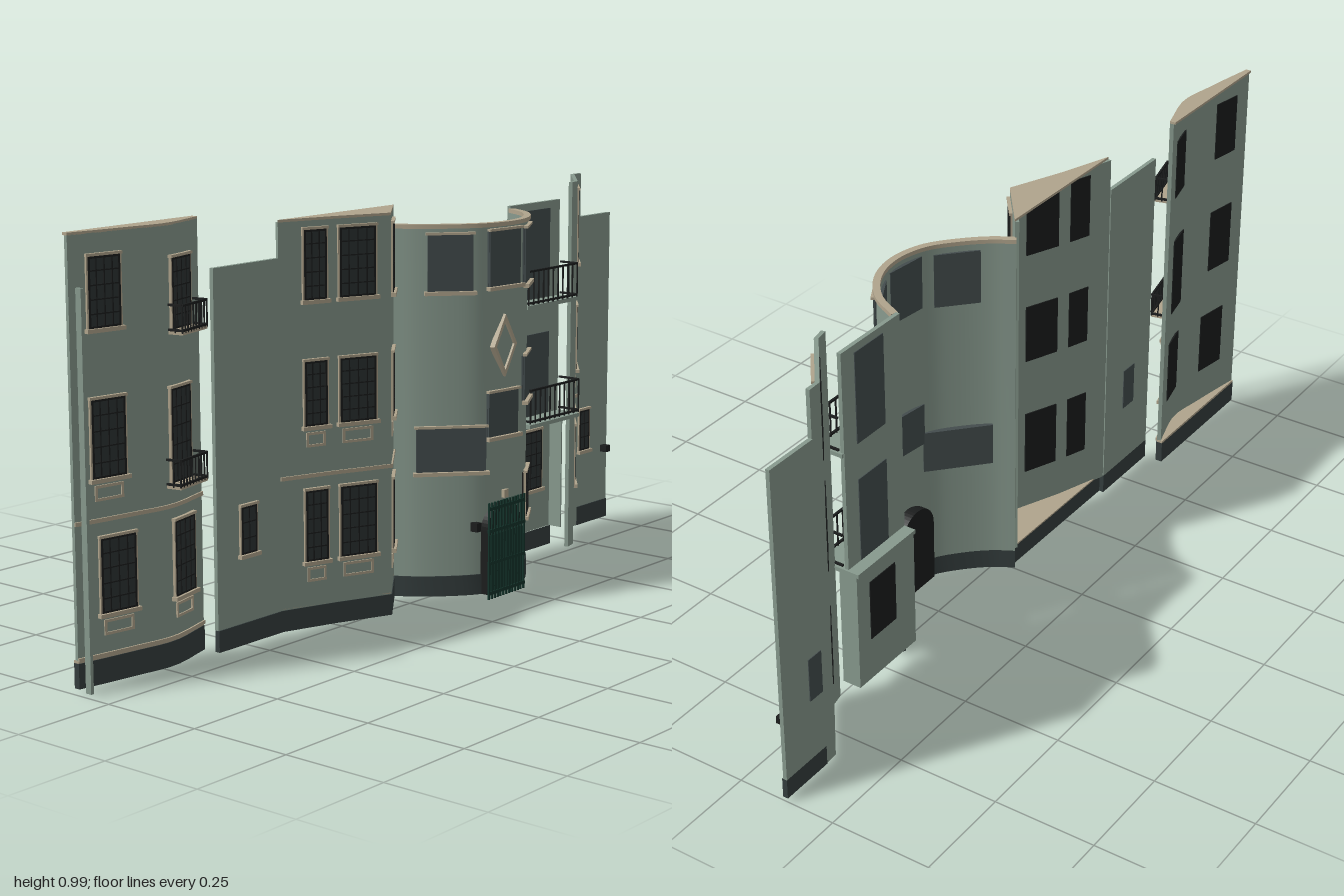
import * as THREE from 'three';
import { toCreasedNormals } from 'three/addons/utils/BufferGeometryUtils.js';

const mat = (name, color) => {
  const m = new THREE.MeshStandardMaterial({ color });
  m.name = name;
  return m;
};

export function createModel() {
  const root = new THREE.Group();
  root.name = 'facade';
  const green = mat('wallGreen', 0x87998d), beige = mat('trimBeige', 0xb0a48c);
  const dark = mat('plinthGrey', 0x343d3d), black = mat('ironBlack', 0x1b1d1d);
  const glass = mat('glassGrey', 0x434c4d), pane = mat('paneDark', 0x2c3333);
  const gateGreen = mat('gateGreen', 0x13332a);

  const add = (parent, name, geo, m, x = 0, y = 0, z = 0) => {
    const mesh = new THREE.Mesh(geo, m);
    mesh.name = name;
    mesh.position.set(x, y, z);
    parent.add(mesh);
    return mesh;
  };
  const box = (parent, name, m, w, h, d, x, y, z) =>
    add(parent, name, new THREE.BoxGeometry(w, h, d), m, x, y, z);

  // Ground-plan lines as [x, z], running left to right across the front
  const curve = (pts, n) => new THREE.CatmullRomCurve3(pts.map(([x, z]) => new THREE.Vector3(x, 0, z)))
    .getPoints(n).map(p => [p.x, p.z]);
  const bow = curve([[-0.99, -0.1], [-0.92, -0.088], [-0.84, -0.076], [-0.74, -0.064], [-0.61, -0.098]], 14);
  const link = [[-0.61, -0.053], [-0.4, -0.053]];
  const bay = [[-0.4, -0.053], [-0.265, -0.006], [-0.13, 0.05], [0, -0.05]];
  const drum = curve([[0, -0.055], [0.03, -0.005], [0.08, 0.05], [0.145, 0.1], [0.22, 0.12], [0.285, 0.114],
    [0.345, 0.088], [0.4, 0.04], [0.44, -0.03]], 32);
  const slant = [[0.655, 0.0], [0.69, -0.008], [0.83, -0.118], [0.86, -0.118]];
  const wing = [[0.86, -0.12], [1, -0.12]];

  // Vertical extrusion of a plan polygon
  const prism = (pts, y0, y1) => {
    const s = new THREE.Shape(pts.map(([x, z]) => new THREE.Vector2(x, -z)));
    const g = new THREE.ExtrudeGeometry(s, { depth: y1 - y0, bevelEnabled: false });
    g.rotateX(-Math.PI / 2).translate(0, y0, 0);
    return toCreasedNormals(g, 0.3);
  };
  const offset = (path, d) => path.map(([x, z], i) => {
    const a = path[Math.max(i - 1, 0)], b = path[Math.min(i + 1, path.length - 1)];
    const l = Math.hypot(b[0] - a[0], b[1] - a[1]);
    return [x - (b[1] - a[1]) / l * d, z + (b[0] - a[0]) / l * d];
  });
  const T = 0.01;
  const ribbon = (name, m, path, y0, y1, front = 0, back = T) =>
    add(root, name, prism([...offset(path, front), ...offset(path, -back).reverse()], y0, y1), m);

  const zAt = (path, x) => {
    let i = 1;
    while (i < path.length - 1 && path[i][0] < x) i++;
    const [a, b] = [path[i - 1], path[i]];
    return a[1] + (b[1] - a[1]) * (x - a[0]) / (b[0] - a[0]);
  };
  // Group placed on a wall between two x positions, facing outwards
  const onWall = (name, path, x0, x1) => {
    const z0 = zAt(path, x0), z1 = zAt(path, x1), xm = (x0 + x1) / 2;
    const g = new THREE.Group();
    g.name = name;
    g.position.set(xm, 0, Math.max(zAt(path, xm), (z0 + z1) / 2));
    g.rotation.y = Math.atan2(z0 - z1, x1 - x0);
    root.add(g);
    const sag = Math.max(0, zAt(path, xm) - (z0 + z1) / 2);
    return { g, w: Math.hypot(x1 - x0, z1 - z0), sag };
  };
  const frame = (parent, name, m, w, h, t, d, y, z) => {
    for (const s of [-1, 1]) {
      box(parent, name, m, t, h, d, s * (w - t) / 2, y, z);
      box(parent, name, m, w, t, d, 0, y + s * (h - t) / 2, z);
    }
  };

  // Window with panes, glazing bars, lintel, sill and optional apron panel
  function windowOn(path, x0, x1, y0, y1, o = {}) {
    const { g, w, sag } = onWall('window', path, x0, x1);
    const h = y1 - y0, y = (y0 + y1) / 2, cols = o.cols ?? 4, rows = o.rows ?? 5;
    box(g, 'glass', o.plain ? glass : pane, w, h, 0.004, 0, y, 0.001);
    box(g, 'glassBack', o.plain || o.greyBack ? glass : black, w, h, T + sag, 0, y, -(T + sag) / 2 - 0.002);
    if (!o.plain) {
      frame(g, 'sash', black, w, h, 0.005, 0.006, y, 0.003);
      for (let i = 1; i < cols; i++) box(g, 'bar', black, 0.003, h, 0.004, -w / 2 + w * i / cols, y, 0.004);
      for (let i = 1; i < rows; i++) box(g, 'bar', black, w, 0.003, 0.004, 0, y0 + h * i / rows, 0.004);
    }
    if (o.trim !== false) {
      box(g, 'sill', beige, w + 0.016, 0.009, 0.014, 0, y0 - 0.004, 0.005);
      box(g, 'lintel', beige, w + 0.01, 0.006, 0.01, 0, y1 + 0.003, 0.003);
    }
    if (!o.plain) for (const s of [-1, 1]) box(g, 'jamb', beige, 0.004, h, 0.006, s * (w / 2 + 0.002), y, 0.002);
    if (o.panel) frame(g, 'apronPanel', beige, w * 0.85, 0.034, 0.006, 0.004, y0 - 0.032, 0.001);
  }

  // Iron railing around the front and both sides of a balcony
  function railing(g, w, depth, y0, y1, n, zBack = 0) {
    const zf = zBack + depth, h = y1 - y0, ym = (y0 + y1) / 2;
    for (const y of [y0 + 0.006, y1]) {
      box(g, 'rail', black, w, 0.005, 0.005, 0, y, zf);
      for (const s of [-1, 1]) box(g, 'sideRail', black, 0.005, 0.005, depth, s * w / 2, y, zBack + depth / 2);
    }
    for (let i = 0; i <= n; i++) box(g, 'baluster', black, 0.003, h, 0.003, -w / 2 + w * i / n, ym, zf);
    for (const s of [-1, 1]) box(g, 'sideBaluster', black, 0.003, h, 0.003, s * w / 2, ym, zBack + depth / 2);
  }

  // Left end post and walls
  box(root, 'endPost', green, 0.008, 0.865, 0.016, -0.996, 0.4425, -0.06);
  ribbon('bowWall', green, bow, 0.07, 0.98);
  ribbon('linkWall', green, link, 0.06, 0.875);
  ribbon('bayWall', green, bay, 0.06, 0.955);
  ribbon('drumWall', green, drum, 0.06, 0.905);
  ribbon('slantWall', green, slant, 0.01, 0.965);
  ribbon('wingWall', green, wing, 0.06, 0.85);

  // Solid plinths with floor and roof caps behind the bow and bay
  const bowPlan = [...bow, [-0.61, -0.113], [-0.99, -0.113]];
  add(root, 'bowPlinth', prism([...offset(bow, 0.002), [-0.61, -0.113], [-0.99, -0.113]], 0.01, 0.066), dark);
  add(root, 'bowFloor', prism(bowPlan, 0.066, 0.072), beige);
  add(root, 'bowRoof', prism(bowPlan, 0.979, 0.985), beige);
  add(root, 'bayPlinth', prism(offset(bay, 0.002), 0.01, 0.06), dark);
  add(root, 'bayFloor', prism(bay, 0.06, 0.064), beige);
  add(root, 'bayRoof', prism(bay, 0.955, 0.961), beige);
  ribbon('linkPlinth', dark, link, 0.01, 0.06, 0.003);
  ribbon('drumPlinth', dark, drum, 0.01, 0.06, 0.003);
  ribbon('wingPlinth', dark, wing, 0.01, 0.06, 0.003);

  // String courses and cornice
  for (const p of [bow, bay, slant]) ribbon('stringCourse', beige, p, 0.365, 0.374, 0.004, 0);
  ribbon('baseCourse', beige, bow, 0.07, 0.078, 0.004, 0);
  ribbon('drumCornice', beige, drum, 0.905, 0.915, 0.007, T);

  // Bow windows
  windowOn(bow, -0.945, -0.865, 0.78, 0.932);
  windowOn(bow, -0.945, -0.86, 0.46, 0.63, { panel: true });
  windowOn(bow, -0.93, -0.84, 0.165, 0.33, { panel: true });
  windowOn(bow, -0.73, -0.655, 0.755, 0.91);
  windowOn(bow, -0.74, -0.665, 0.42, 0.628);
  windowOn(bow, -0.735, -0.655, 0.165, 0.335, { panel: true });
  for (const [x0, x1, y] of [[-0.74, -0.64, 0.75], [-0.755, -0.65, 0.415]]) {
    const { g, w } = onWall('smallBalcony', bow, x0, x1);
    box(g, 'balconyFloor', beige, w, 0.008, 0.036, 0, y, 0.018);
    railing(g, w, 0.035, y, y + 0.06, 9);
  }

  // Bay windows
  for (const [y0, y1, panel] of [[0.775, 0.935, false], [0.485, 0.635, true], [0.168, 0.335, true]]) {
    windowOn(bay, -0.34, -0.285, y0, y1, { panel, cols: 3 });
    windowOn(bay, -0.253, -0.168, y0, y1, { panel });
    windowOn(bay, -0.122, -0.06, y0, y1, { panel });
  }

  // Link and wing windows
  windowOn(link, -0.535, -0.485, 0.22, 0.33, { greyBack: true, cols: 2, rows: 3 });
  windowOn(wing, 0.866, 0.91, 0.215, 0.325, { greyBack: true, cols: 2, rows: 3 });
  box(root, 'wallLamp', black, 0.018, 0.018, 0.02, 0.98, 0.205, -0.11);

  // Slanted wall windows
  windowOn(slant, 0.715, 0.795, 0.75, 0.938, { panel: true });
  windowOn(slant, 0.715, 0.795, 0.47, 0.635, { panel: true });
  windowOn(slant, 0.725, 0.785, 0.16, 0.317);

  // Drum windows
  for (const [x0, x1, y0, y1] of [[0.045, 0.125, 0.755, 0.89], [0.16, 0.265, 0.762, 0.895],
    [0.297, 0.375, 0.755, 0.89], [0.025, 0.15, 0.318, 0.425], [0.16, 0.26, 0.397, 0.505],
    [0.297, 0.375, 0.467, 0.578]]) windowOn(drum, x0, x1, y0, y1, { plain: true });
  windowOn(drum, 0.308, 0.383, 0.175, 0.285, { cols: 3, rows: 3 });

  // Diamond ornament
  const diamond = (w, h, C) => {
    const p = new C();
    p.moveTo(0, -h); p.lineTo(w, 0); p.lineTo(0, h); p.lineTo(-w, 0); p.closePath();
    return p;
  };
  const dia = diamond(0.045, 0.076, THREE.Shape);
  dia.holes.push(diamond(0.035, 0.06, THREE.Path));
  add(root, 'diamondOrnament', new THREE.ExtrudeGeometry(dia, { depth: 0.014, bevelEnabled: false }),
    beige, 0.21, 0.617, 0.112);

  // Arched doorway and iron gate
  const arch = new THREE.Shape();
  arch.moveTo(-0.065, 0); arch.lineTo(0.065, 0); arch.lineTo(0.065, 0.16);
  arch.absarc(0, 0.16, 0.065, 0, Math.PI); arch.lineTo(-0.065, 0);
  add(root, 'doorway', new THREE.ExtrudeGeometry(arch, { depth: 0.042, bevelEnabled: false }),
    black, 0.213, 0.01, 0.083);
  const gate = new THREE.Group();
  gate.name = 'gate';
  gate.position.set(0.215, 0, 0.129);
  root.add(gate);
  for (let i = 0; i <= 12; i++) box(gate, 'gateBar', gateGreen, 0.005, 0.24, 0.004, -0.07 + 0.14 * i / 12, 0.12, 0);
  for (const y of [0.015, 0.09, 0.17, 0.225]) box(gate, 'gateRail', gateGreen, 0.146, 0.008, 0.005, 0, y, 0);
  for (const s of [-1, 1]) box(gate, 'gatePanel', gateGreen, 0.06, 0.14, 0.003, s * 0.034, 0.09, -0.001);
  box(root, 'keystone', beige, 0.016, 0.02, 0.012, 0.215, 0.252, 0.122);
  box(root, 'gateLamp', black, 0.016, 0.022, 0.02, 0.13, 0.18, 0.1);

  // Recessed balcony section
  const upper = [[0.44, -0.035], [0.65, -0.035]], lower = [[0.44, -0.06], [0.655, -0.06]];
  ribbon('balconyWall', green, upper, 0.37, 0.92);
  ribbon('groundWall', green, lower, 0.06, 0.365);
  add(root, 'groundPlinth', new THREE.PlaneGeometry(0.215, 0.05), dark, 0.5475, 0.035, -0.058);
  for (const x of [0.442, 0.653]) box(root, 'returnWall', green, 0.004, 0.305, 0.045, x, 0.2125, -0.045);
  box(root, 'lowerSlab', green, 0.215, 0.01, 0.107, 0.5475, 0.367, -0.0215);
  box(root, 'upperSlab', green, 0.215, 0.01, 0.065, 0.5475, 0.669, -0.0105);
  windowOn(upper, 0.503, 0.605, 0.676, 0.902, { plain: true, trim: false });
  windowOn(upper, 0.503, 0.605, 0.374, 0.585, { plain: true, trim: false });
  windowOn(lower, 0.515, 0.61, 0.17, 0.325, { panel: false });
  for (const [y, d] of [[0.674, 0.053], [0.374, 0.062]]) {
    const g = new THREE.Group();
    g.name = 'longBalcony';
    g.position.set(0.5475, 0, -0.032);
    root.add(g);
    railing(g, 0.208, d, y, y + 0.086, 10);
  }
  return root;
}
